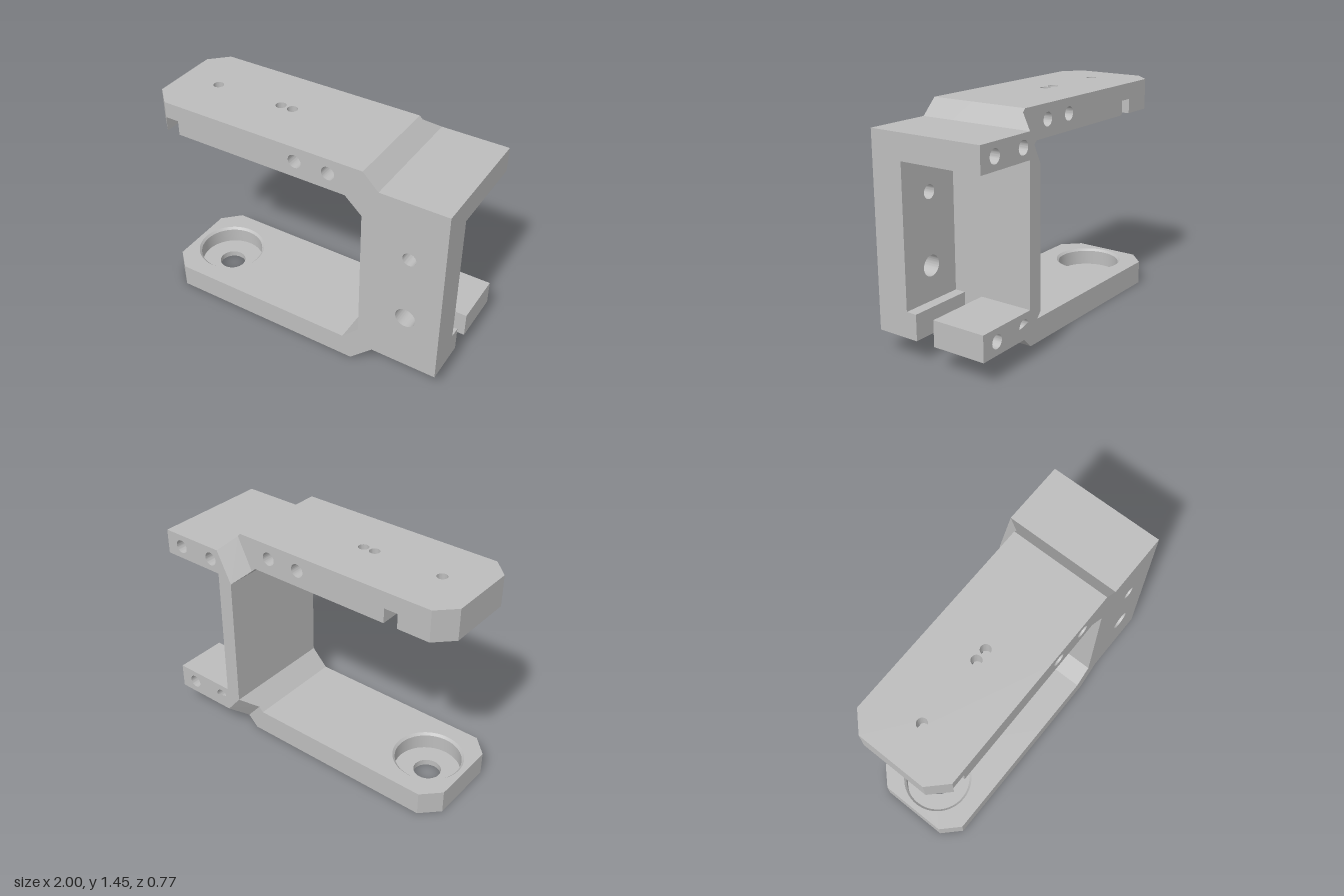
import * as THREE from 'three';
import { toCreasedNormals } from 'three/addons/utils/BufferGeometryUtils.js';

const grey = new THREE.MeshStandardMaterial({ color: 0xbdbdbd });
grey.name = 'machined grey';

const SPLIT = -0.05; // x where the arm tips meet the frame

function outline(points, holes = []) {
  const shape = new THREE.Shape(points.map(([x, y]) => new THREE.Vector2(x, y)));
  for (const [x, y, r] of holes) {
    shape.holes.push(new THREE.Path().absarc(x, y, r, 0, Math.PI * 2, true));
  }
  return shape;
}

function extrude(shape, depth) {
  return new THREE.ExtrudeGeometry(shape, { depth, bevelEnabled: false, curveSegments: 32 });
}

// Moves every vertex by a rule, for tapered pieces
function reshape(geometry, rule) {
  const p = geometry.attributes.position;
  const v = new THREE.Vector3();
  for (let i = 0; i < p.count; i++) {
    rule(v.fromBufferAttribute(p, i));
    p.setXYZ(i, v.x, v.y, v.z);
  }
  geometry.computeVertexNormals();
  return geometry;
}

export function createModel() {
  const group = new THREE.Group();
  const add = (name, geometry) => {
    const mesh = new THREE.Mesh(toCreasedNormals(geometry, 0.5), grey);
    mesh.name = name;
    group.add(mesh);
  };
  // Slice standing in the XY plane, between two z values
  const slice = (name, shape, z0, z1) => add(name, extrude(shape, z1 - z0).translate(0, 0, z0));
  // Flat layer between two y values, drawn in (x, -z)
  const layerGeometry = (shape, y0, y1) => extrude(shape, y1 - y0).rotateX(-Math.PI / 2).translate(0, y0, 0);
  const layer = (name, shape, y0, y1) => add(name, layerGeometry(shape, y0, y1));

  // C-shaped frame, with three versions of its right-hand side
  const solidSide = [[1, 0.147], [1, 1.35]];
  const upperSlab = [[0.57, 1.19], [1, 1.19], [1, 1.35]];
  const pocketSide = [[1, 0.147], [1, 0.31], [0.57, 0.31], ...upperSlab];
  const frame = (side, holes) => outline([
    [SPLIT, 0], [0.42, 0], [0.57, 0.147], ...side, [0.57, 1.35], [0.47, 1.45], [SPLIT, 1.45],
    [SPLIT, 1.25], [0.36, 1.25], [0.47, 1.15], [0.47, 0.27], [0.36, 0.155], [SPLIT, 0.155],
  ], holes);

  const armHoles = [[0.03, 1.355, 0.043], [0.25, 1.355, 0.043]];
  const wallHoles = [[0.78, 0.97, 0.043], [0.78, 0.525, 0.065]];
  const slabHoles = [];
  for (const x of [0.63, 0.88]) for (const y of [0.23, 1.27]) slabHoles.push([x, y, 0.043]);

  slice('frontWall', frame(solidSide, [...armHoles, ...wallHoles]), 0.17, 0.385);
  slice('frameBehindWall', frame(pocketSide, armHoles), 0.1, 0.17);
  slice('frameAtSlot', frame(upperSlab, armHoles), -0.03, 0.1);
  slice('frameMiddle', frame(pocketSide, armHoles), -0.18, -0.03);
  slice('frameBack', frame(pocketSide, [...armHoles, ...slabHoles]), -0.28, -0.18);

  // Rear rim of the column, tapering away from the arms
  const rim = outline([
    [0.49, 0.069], [0.57, 0.147], ...pocketSide, [0.57, 1.35], [0.49, 1.43],
    [0.39, 1.223], [0.47, 1.15], [0.47, 0.27], [0.39, 0.186],
  ], slabHoles);
  const corners = [
    [0.49, 0.069, 0.57, 0.147], [0.39, 0.186, 0.47, 0.27],
    [0.49, 1.43, 0.57, 1.35], [0.39, 1.223, 0.47, 1.15],
  ];
  add('columnRearRim', reshape(extrude(rim, 0.105).translate(0, 0, -0.385), (v) => {
    if (v.z > -0.33) return;
    for (const [x, y, toX, toY] of corners) {
      if (Math.hypot(v.x - x, v.y - y) < 0.001) { v.x = toX; v.y = toY; break; }
    }
  }));

  // Arm tips with cut corners
  const tip = (holes) => outline([
    [-1, -0.275], [-0.89, -0.385], [SPLIT, -0.385], [SPLIT, 0.28], [-0.89, 0.28], [-1, 0.17],
  ], holes);
  const cx = -0.74, cv = -0.05;

  // Lower arm: stepped round seat with a bevelled rim
  layer('lowerArmFloor', tip([[cx, cv, 0.087]]), 0, 0.04);
  layer('lowerArmSeat', tip([[cx, cv, 0.21]]), 0.04, 0.14);
  add('lowerArmRim', reshape(layerGeometry(tip([[cx, cv, 0.21]]), 0.14, 0.155), (v) => {
    const dx = v.x - cx, dz = v.z + cv;
    if (v.y > 0.15 && Math.hypot(dx, dz) < 0.215) {
      v.x = cx + dx * 1.07;
      v.z = -cv + dz * 1.07;
    }
  }));

  // Upper arm: drilled plate over a round chamber with side ports and a long slot
  layer('upperArmPlate', tip([[cx, cv, 0.033], [-0.28, cv, 0.033], [-0.2, cv, 0.033]]), 1.345, 1.45);

  const r = 0.15;
  const nose = new THREE.Shape();
  nose.moveTo(-1, -0.275);
  nose.lineTo(-0.89, -0.385);
  nose.absarc(cx, cv, r, Math.PI, Math.acos(0.06 / r), true);
  nose.lineTo(-0.68, 0.28);
  nose.lineTo(-0.89, 0.28);
  nose.lineTo(-1, 0.17);
  layer('upperArmNose', nose, 1.25, 1.345);

  const body = new THREE.Shape();
  body.moveTo(-0.8, -0.385);
  body.lineTo(SPLIT, -0.385);
  body.lineTo(SPLIT, 0.28);
  body.lineTo(-0.59, 0.28);
  body.lineTo(-0.59, 0.03);
  body.absarc(-0.2, cv, 0.08, Math.PI / 2, -Math.PI / 2, true);
  body.absarc(cx, cv, r, -Math.asin(0.08 / r), -Math.acos(-0.06 / r), true);
  layer('upperArmUnderside', body, 1.25, 1.345);

  return group;
}
